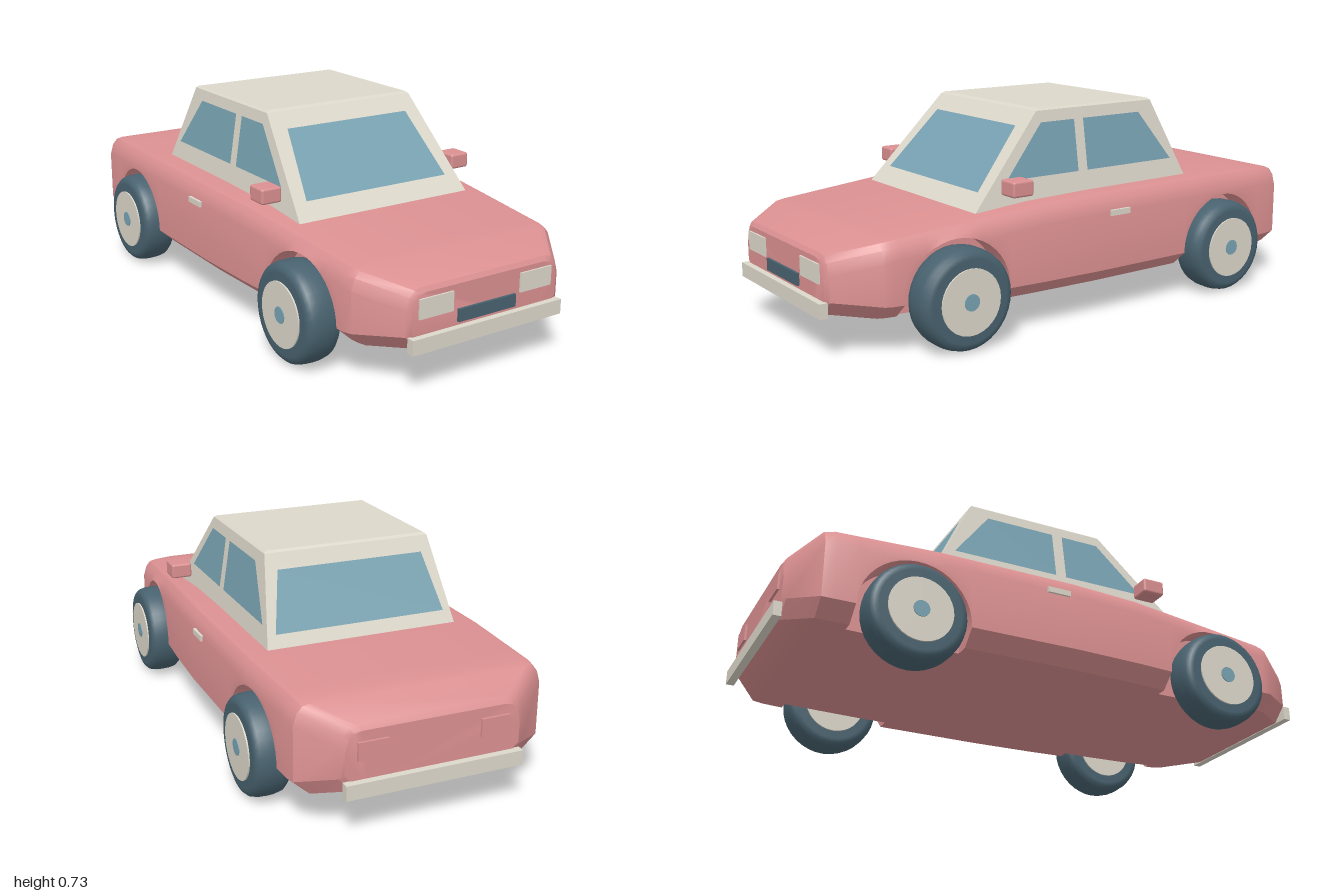
import * as THREE from 'three';
import { toCreasedNormals } from 'three/addons/utils/BufferGeometryUtils.js';
import { RoundedBoxGeometry } from 'three/addons/geometries/RoundedBoxGeometry.js';

const mat = (name, color, extra = {}) => {
  const m = new THREE.MeshStandardMaterial({ color, ...extra });
  m.name = name;
  return m;
};

// Skin a list of matching closed rings (Vector3 arrays) and cap both ends
function loft(rings, crease) {
  const pos = [];
  const tri = (a, b, c) => {
    const area = b.clone().sub(a).cross(c.clone().sub(a)).length();
    if (area > 1e-7) pos.push(...a, ...b, ...c);
  };
  const n = rings[0].length, last = rings[rings.length - 1];
  for (let i = 0; i + 1 < rings.length; i++) {
    for (let j = 0; j < n; j++) {
      const k = (j + 1) % n, r = rings[i], s = rings[i + 1];
      tri(r[j], s[j], s[k]);
      tri(r[j], s[k], r[k]);
    }
  }
  for (let j = 1; j + 1 < n; j++) {
    tri(rings[0][0], rings[0][j], rings[0][j + 1]);
    tri(last[0], last[j + 1], last[j]);
  }
  const g = new THREE.BufferGeometry();
  g.setAttribute('position', new THREE.Float32BufferAttribute(pos, 3));
  return toCreasedNormals(g, crease);
}

// Body keys: z, half width, top y, bottom y
const KEYS = [
  [0.978, 0.29, 0.328, 0.152], [0.968, 0.305, 0.342, 0.143], [0.83, 0.405, 0.38, 0.128],
  [0.8, 0.411, 0.384, 0.126], [0.45, 0.432, 0.413, 0.118], [0.25, 0.445, 0.428, 0.118],
  [0, 0.453, 0.434, 0.118], [-0.5, 0.449, 0.437, 0.118], [-0.85, 0.433, 0.431, 0.124],
  [-0.885, 0.427, 0.424, 0.127], [-0.965, 0.315, 0.368, 0.152], [-0.976, 0.3, 0.352, 0.162],
];
const WHEEL_Z = [0.572, -0.583], WHEEL_Y = 0.17, ARCH_R = 0.193;

function bodyAt(z) {
  let i = 0;
  while (i < KEYS.length - 2 && z < KEYS[i + 1][0]) i++;
  const a = KEYS[i], b = KEYS[i + 1], t = (a[0] - z) / (a[0] - b[0]);
  return [1, 2, 3].map((k) => a[k] + (b[k] - a[k]) * t);
}

// Body section; archY lifts the lower edge of the side over a wheel
function bodyRing(z, archY = 0) {
  const [w, top, bottom] = bodyAt(z);
  const ya = Math.max(bottom, archY), bx = w - 0.055, inner = Math.min(0.345, bx - 0.02);
  const lip = bx + (w - bx) * Math.min(1, (ya - bottom) / 0.05);
  const half = [
    [inner, bottom], [inner, ya], [lip, ya],
    [w, Math.max(bottom + 0.05, ya)],
    [w, Math.max(top - 0.065, ya)],
    [w - 0.012, Math.max(top - 0.025, ya)],
    [w - 0.03, top - 0.005], [w - 0.055, top],
  ];
  const left = half.map(([x, y]) => new THREE.Vector3(x, y, z));
  const right = half.map(([x, y]) => new THREE.Vector3(-x, y, z)).reverse();
  return [...left, ...right];
}

function bodyGeometry() {
  const stations = KEYS.map((k) => [k[0], 0])
    .filter(([z]) => WHEEL_Z.every((c) => Math.abs(z - c) > ARCH_R));
  for (const c of WHEEL_Z) {
    stations.push([c + ARCH_R, 0]);
    for (let i = 0; i <= 20; i++) {
      const a = (i / 20) * Math.PI;
      stations.push([c + ARCH_R * Math.cos(a), WHEEL_Y + ARCH_R * Math.sin(a)]);
    }
    stations.push([c - ARCH_R, 0]);
  }
  stations.sort((a, b) => b[0] - a[0]); // stable, keeps the arch walls in order
  return loft(stations.map(([z, y]) => bodyRing(z, y)), 0.5);
}

// Cabin faces slope linearly between base and roof
const BASE = 0.41, ROOF = 0.728;
const rise = (y) => (y - BASE) / (ROOF - BASE);
const cabinX = (y) => 0.35 - 0.05 * rise(y);
const cabinFront = (y) => 0.46 - 0.29 * rise(y);
const cabinRear = (y) => -0.488 + 0.153 * rise(y);

function cabinGeometry() {
  const ring = (y, inset) => {
    const x = cabinX(y) - inset, f = cabinFront(y) - inset, r = cabinRear(y) + inset;
    return [[x, f], [x, r], [-x, r], [-x, f]].map(([px, pz]) => new THREE.Vector3(px, y, pz));
  };
  return loft([ring(ROOF, 0.007), ring(ROOF - 0.007, 0), ring(BASE, 0)], 0.3);
}

// Flat four-cornered pane
function pane(corners) {
  const g = new THREE.BufferGeometry();
  g.setAttribute('position', new THREE.Float32BufferAttribute(corners.flat(), 3));
  g.setIndex([0, 1, 2, 0, 2, 3]);
  g.computeVertexNormals();
  return g;
}

export function createModel() {
  const pink = mat('pink paint', 0xdb9091);
  const cream = mat('cream', 0xdcd7ca);
  const glass = mat('blue glass', 0x78a2b2, { side: THREE.DoubleSide });
  const dark = mat('dark slate', 0x48626f);

  const car = new THREE.Group();
  car.name = 'car';
  const add = (name, geometry, material, x = 0, y = 0, z = 0, parent = car) => {
    const m = new THREE.Mesh(geometry, material);
    m.name = name;
    m.position.set(x, y, z);
    parent.add(m);
    return m;
  };
  const box = (w, h, d) => new THREE.BoxGeometry(w, h, d);

  add('body', bodyGeometry(), pink);
  add('cabin', cabinGeometry(), cream);

  // Windows lie just proud of the cabin faces
  const gap = 0.003;
  const endWindow = (name, zAt, lift, y0, x0, y1, x1) => add(name, pane([
    [-x0, y0, zAt(y0) + lift], [x0, y0, zAt(y0) + lift],
    [x1, y1, zAt(y1) + lift], [-x1, y1, zAt(y1) + lift],
  ]), glass);
  endWindow('windscreen', cabinFront, gap, 0.468, 0.292, 0.67, 0.25);
  endWindow('rearWindow', cabinRear, -gap, 0.48, 0.31, 0.67, 0.266);

  for (const s of [1, -1]) {
    const side = s > 0 ? 'left' : 'right';
    const sideWindow = (name, pts) =>
      add(name, pane(pts.map(([z, y]) => [s * (cabinX(y) + gap), y, z])), glass);
    sideWindow(side + 'FrontWindow', [[0.325, 0.503], [0.02, 0.503], [0.02, 0.682], [0.163, 0.682]]);
    sideWindow(side + 'RearWindow', [[-0.02, 0.503], [-0.41, 0.503], [-0.275, 0.682], [-0.02, 0.682]]);

    add(side + 'Mirror', new RoundedBoxGeometry(0.076, 0.054, 0.082, 2, 0.008), pink, s * 0.398, 0.492, 0.325);
    add(side + 'DoorHandle', box(0.016, 0.02, 0.085), cream, s * 0.452, 0.368, -0.073);
    add(side + 'Headlight', box(0.13, 0.065, 0.02), cream, s * 0.2, 0.278, 0.974);
    add(side + 'TailLight', box(0.1, 0.06, 0.02), pink, s * 0.21, 0.288, -0.974);
  }

  // Grille and bumpers
  add('grille', box(0.23, 0.042, 0.02), dark, 0, 0.226, 0.977);
  add('frontBumper', box(0.6, 0.05, 0.028), cream, 0, 0.168, 0.986);
  add('rearBumper', box(0.61, 0.05, 0.028), cream, 0, 0.168, -0.986);

  // Wheels: rounded tyre, hub disc and small centre cap
  const tyre = new THREE.LatheGeometry([
    [0, -0.063], [0.138, -0.063], [0.153, -0.059], [0.164, -0.047], [0.169, -0.025],
    [0.17, 0], [0.169, 0.025], [0.164, 0.047], [0.153, 0.059], [0.138, 0.063], [0, 0.063],
  ].map(([r, h]) => new THREE.Vector2(r, h)), 36);
  const hub = new THREE.CylinderGeometry(0.11, 0.11, 0.136, 32);
  const cap = new THREE.CylinderGeometry(0.028, 0.028, 0.142, 16);
  WHEEL_Z.forEach((z, i) => {
    for (const s of [1, -1]) {
      const wheel = new THREE.Group();
      wheel.name = (i ? 'rear' : 'front') + (s > 0 ? 'Left' : 'Right') + 'Wheel';
      wheel.position.set(s * 0.43, WHEEL_Y, z);
      wheel.rotation.z = -s * Math.PI / 2;
      add('tyre', tyre, dark, 0, 0, 0, wheel);
      add('hub', hub, cream, 0, 0, 0, wheel);
      add('hubCap', cap, glass, 0, 0, 0, wheel);
      car.add(wheel);
    }
  });
  return car;
}
